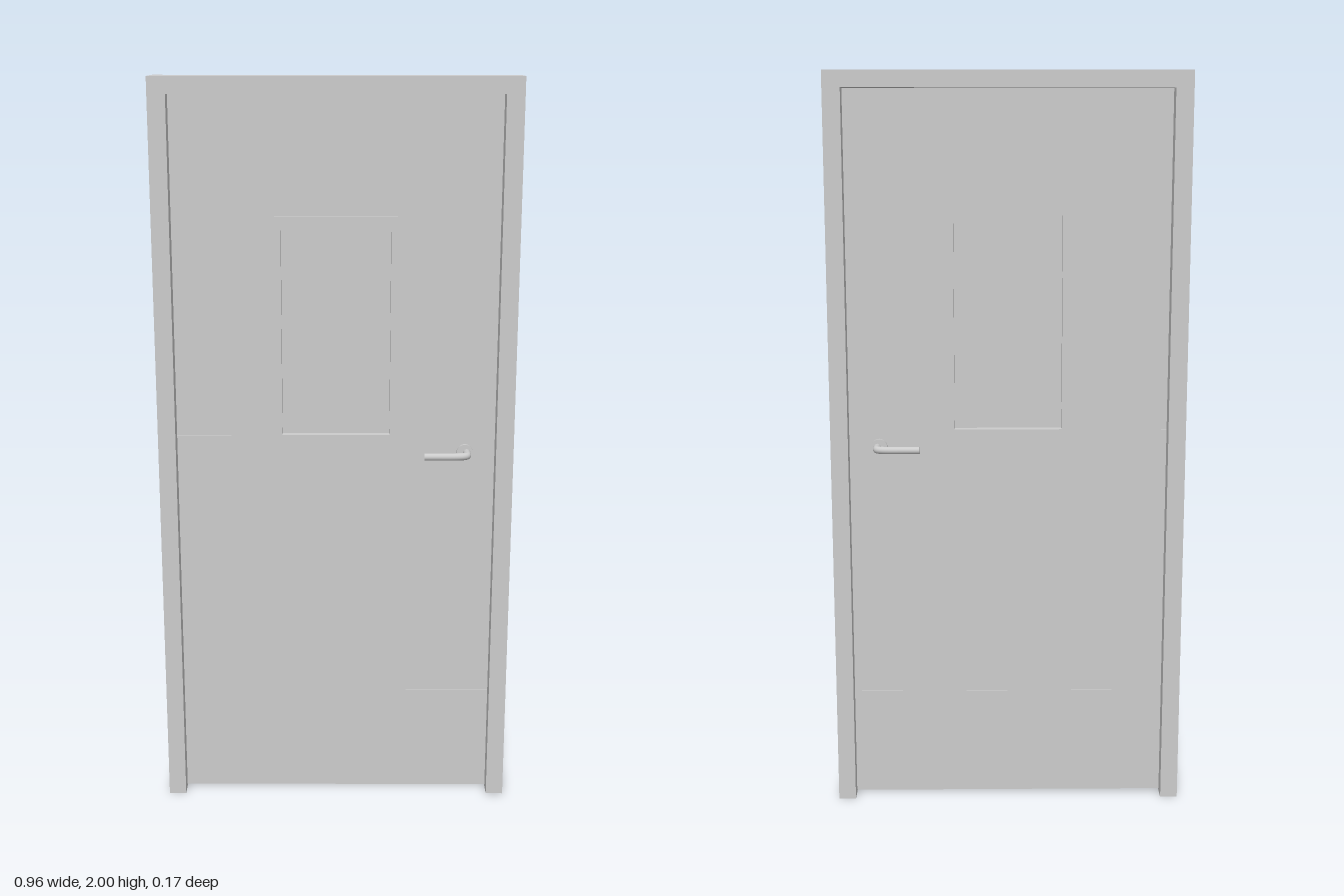
import * as THREE from 'three';

const material = new THREE.MeshStandardMaterial({ color: 0xcccccc });

function add(parent, name, geometry, x = 0, y = 0, z = 0) {
  const mesh = new THREE.Mesh(geometry, material);
  mesh.name = name;
  mesh.position.set(x, y, z);
  parent.add(mesh);
  return mesh;
}

// Box given by its limits in x and y, centred on z = 0
function slab(parent, name, x0, x1, y0, y1, depth) {
  return add(parent, name, new THREE.BoxGeometry(x1 - x0, y1 - y0, depth), (x0 + x1) / 2, (y0 + y1) / 2);
}

function polygon(points, Type = THREE.Shape) {
  return new Type(points.map(([x, y]) => new THREE.Vector2(x, y)));
}

function rectangle(x0, x1, y0, y1, Type) {
  return polygon([[x0, y0], [x1, y0], [x1, y1], [x0, y1]], Type);
}

function extrude(shape, depth) {
  const geometry = new THREE.ExtrudeGeometry(shape, { depth, bevelEnabled: false });
  return geometry.translate(0, 0, -depth / 2);
}

// Lever handle facing +z: rosette, neck and a lever bent towards the door middle
function createHandle(face) {
  const handle = new THREE.Group();
  handle.name = 'handle';
  const rosette = add(handle, 'rosette', new THREE.CylinderGeometry(0.022, 0.022, 0.008, 32), 0, 0, face + 0.004);
  rosette.rotation.x = Math.PI / 2;
  const path = new THREE.CurvePath();
  const v = (x, z) => new THREE.Vector3(x, 0, z);
  path.add(new THREE.LineCurve3(v(0.005, face), v(0.005, 0.056)));
  path.add(new THREE.CubicBezierCurve3(v(0.005, 0.056), v(0.005, 0.069), v(-0.012, 0.073), v(-0.045, 0.073)));
  path.add(new THREE.LineCurve3(v(-0.045, 0.073), v(-0.112, 0.073)));
  add(handle, 'lever', new THREE.TubeGeometry(path, 40, 0.01, 16));
  const tip = add(handle, 'leverTip', new THREE.CircleGeometry(0.01, 16), -0.112, 0, 0.073);
  tip.rotation.y = -Math.PI / 2;
  return handle;
}

export function createModel() {
  const door = new THREE.Group();
  door.name = 'door';
  const W = 0.478, inner = 0.431, top = 1.956, thick = 0.044;

  // Surrounding frame, open at the floor
  add(door, 'frame', extrude(polygon([
    [-W, 0], [-inner, 0], [-inner, top], [inner, top], [inner, 0], [W, 0], [W, 2], [-W, 2],
  ]), 0.132));

  // Leaf core with the window opening
  const leaf = new THREE.Group();
  leaf.name = 'leaf';
  door.add(leaf);
  const core = rectangle(-inner, inner, 0.006, top);
  core.holes.push(rectangle(-0.146, 0.146, 1.055, 1.63, THREE.Path));
  add(leaf, 'leafCore', extrude(core, thick - 0.003));

  // Facing panels with hairline joints between them
  const g = 0.001;
  [[0.005, 0.306], [0.306, 1.055], [1.63, top]].forEach(([a, b]) => {
    slab(leaf, 'panel', -inner, inner, a + g, b - g, thick);
  });
  [-1, 1].forEach((s) => {
    const xs = [s * 0.147, s * inner].sort((a, b) => a - b);
    slab(leaf, 'sidePanel', xs[0], xs[1], 1.055 + g, 1.63 - g, thick);
  });

  // Window trim and pane
  const trim = rectangle(-0.161, 0.161, 1.04, 1.645);
  trim.holes.push(rectangle(-0.145, 0.145, 1.056, 1.629, THREE.Path));
  add(leaf, 'windowTrim', extrude(trim, 0.054));
  slab(leaf, 'windowPane', -0.146, 0.146, 1.055, 1.63, 0.006);

  // Handles on both faces, both levers pointing to -x
  [1, -1].forEach((side) => {
    const handle = createHandle(thick / 2);
    handle.name = side > 0 ? 'frontHandle' : 'backHandle';
    handle.position.set(0.35, 1.008, 0);
    if (side < 0) {
      // Half turn about x keeps the lever direction
      handle.rotation.x = Math.PI;
    }
    door.add(handle);
  });

  return door;
}
